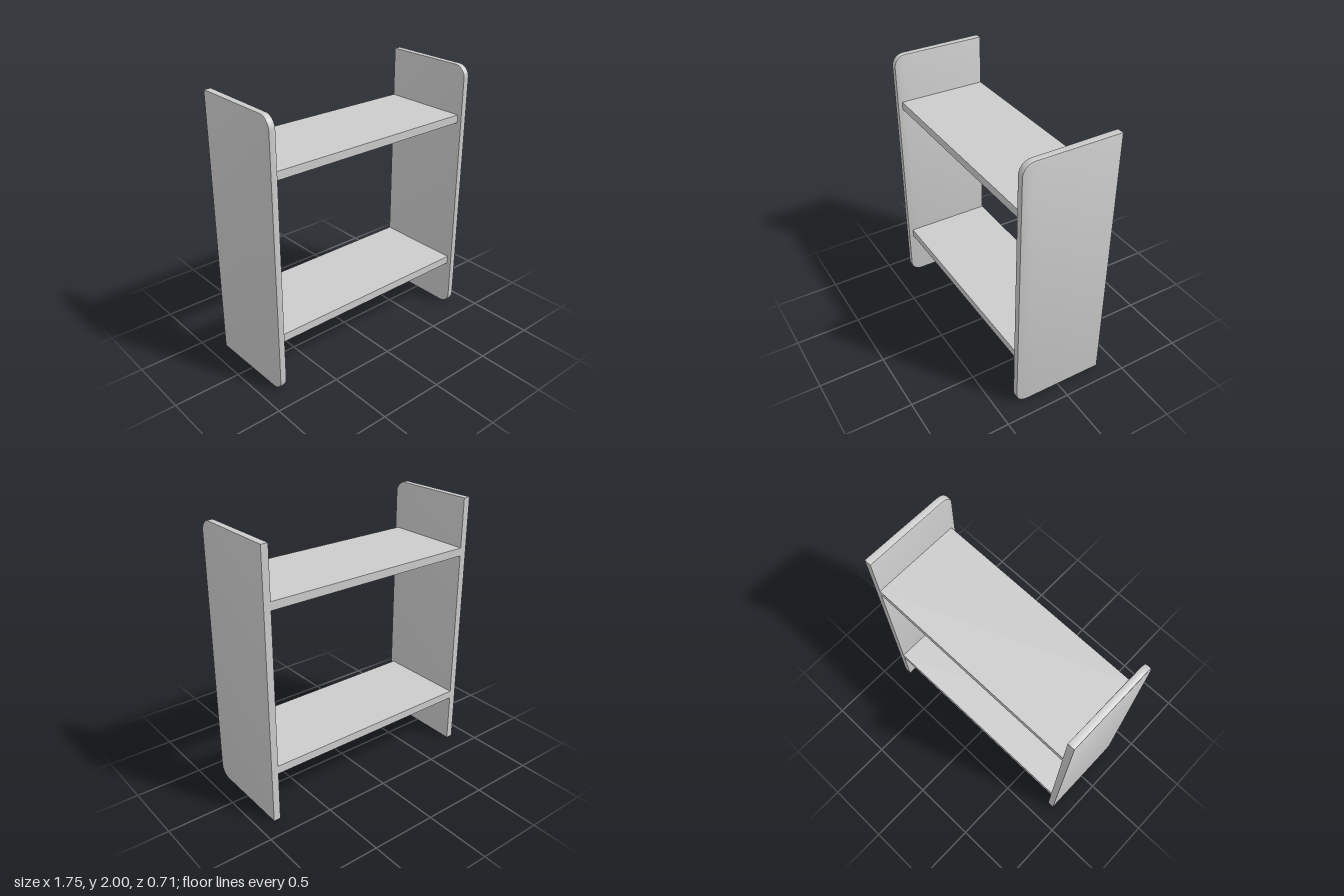
import * as THREE from 'three';
import { toCreasedNormals } from 'three/addons/utils/BufferGeometryUtils.js';

const HEIGHT = 2, BACK = -0.355, FRONT = 0.355, RADIUS = 0.09;
const THICK = 0.052, BEVEL = 0.011, INNER = 0.825;

// Side board: round front corners, eased front edge fading to a square back
function sidePanelGeometry() {
  const s = new THREE.Shape();
  s.moveTo(BACK, 0);
  s.lineTo(FRONT - RADIUS, 0);
  s.absarc(FRONT - RADIUS, RADIUS, RADIUS, -Math.PI / 2, 0, false);
  s.lineTo(FRONT, HEIGHT - RADIUS);
  s.absarc(FRONT - RADIUS, HEIGHT - RADIUS, RADIUS, 0, Math.PI / 2, false);
  s.lineTo(BACK, HEIGHT);
  s.closePath();
  const g = new THREE.ExtrudeGeometry(s, {
    depth: THICK - 2 * BEVEL, curveSegments: 6,
    bevelEnabled: true, bevelThickness: BEVEL, bevelSize: BEVEL,
    bevelOffset: -BEVEL, bevelSegments: 2,
  });
  g.translate(0, 0, BEVEL - THICK / 2);

  // Square off the back edge
  const p = g.attributes.position;
  for (let i = 0; i < p.count; i++) {
    if (p.getX(i) < BACK + 0.03) {
      p.setXY(i, BACK, p.getY(i) < HEIGHT / 2 ? 0 : HEIGHT);
      p.setZ(i, Math.sign(p.getZ(i)) * THICK / 2);
    }
  }
  g.rotateY(-Math.PI / 2);
  return toCreasedNormals(g, 0.5);
}

export function createModel() {
  const group = new THREE.Group();
  group.name = 'shelfUnit';
  const material = new THREE.MeshStandardMaterial({ color: 0xcccccc });
  const add = (name, geometry, x, y, z) => {
    const mesh = new THREE.Mesh(geometry, material);
    mesh.name = name;
    mesh.position.set(x, y, z);
    group.add(mesh);
  };

  // Side panels
  const panel = sidePanelGeometry();
  add('leftPanel', panel, INNER + THICK / 2, 0, 0);
  add('rightPanel', panel, -INNER - THICK / 2, 0, 0);

  // Shelves, flush at the back and set back slightly at the front
  const shelfDepth = 0.32 - BACK;
  const shelf = new THREE.BoxGeometry(INNER * 2, 0.06, shelfDepth);
  add('lowerShelf', shelf, 0, 0.405, BACK + shelfDepth / 2);
  add('upperShelf', shelf, 0, 1.6, BACK + shelfDepth / 2);

  return group;
}
